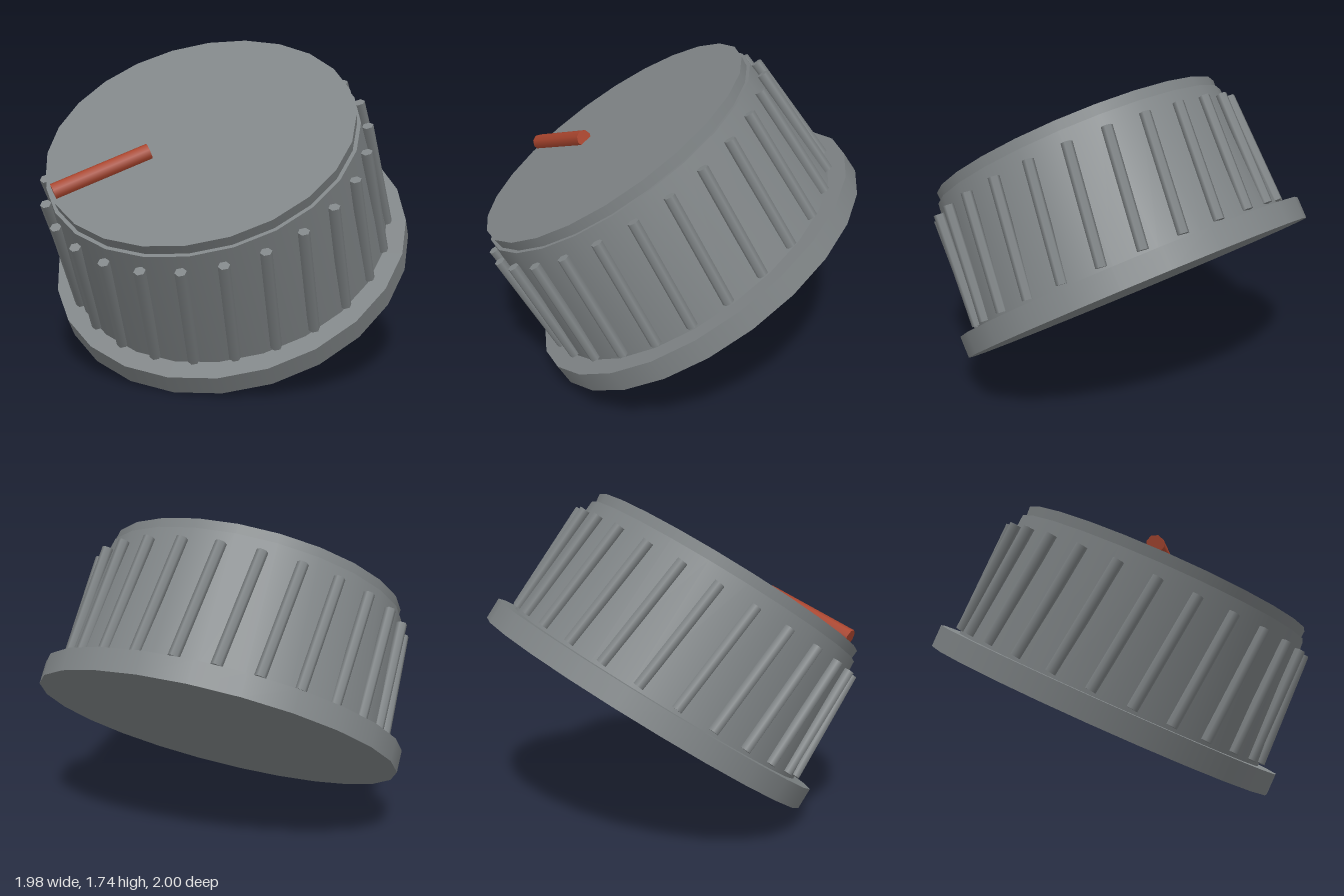
import * as THREE from 'three';

const grey = new THREE.MeshStandardMaterial({ color: 0x7f8486 });
grey.name = 'knobGrey';
const red = new THREE.MeshStandardMaterial({ color: 0xa9452e });
red.name = 'pointerRed';

// Straight round bar between two points
function bar(name, a, b, radius, sides, material) {
  const dir = b.clone().sub(a);
  const mesh = new THREE.Mesh(new THREE.CylinderGeometry(radius, radius, dir.length(), sides), material);
  mesh.name = name;
  mesh.position.copy(a).add(b).multiplyScalar(0.5);
  mesh.quaternion.setFromUnitVectors(new THREE.Vector3(0, 1, 0), dir.normalize());
  return mesh;
}

// Round section of the knob between two heights
function disc(name, rTop, rBottom, y0, y1) {
  const mesh = new THREE.Mesh(new THREE.CylinderGeometry(rTop, rBottom, y1 - y0, 24), grey);
  mesh.name = name;
  mesh.position.y = (y0 + y1) / 2;
  return mesh;
}

const polar = (r, angle, y) => new THREE.Vector3(r * Math.sin(angle), y, r * Math.cos(angle));

export function createModel() {
  const model = new THREE.Group();
  model.name = 'controlKnob';

  // The whole knob leans forward
  const knob = new THREE.Group();
  knob.name = 'tiltedKnob';
  knob.rotation.x = THREE.MathUtils.degToRad(33.45);
  knob.position.set(0, 0.547, -0.175);
  model.add(knob);

  knob.add(disc('baseFlange', 0.99, 0.99, 0, 0.12));
  knob.add(disc('body', 0.835, 0.885, 0.12, 0.83));
  knob.add(disc('topCap', 0.82, 0.815, 0.83, 0.887));

  // Slanted grip ribs around the body
  const ribs = new THREE.Group();
  ribs.name = 'gripRibs';
  const count = 26;
  const twist = THREE.MathUtils.degToRad(4.8);
  for (let i = 0; i < count; i++) {
    const angle = ((i + 0.5) / count) * Math.PI * 2;
    ribs.add(bar('gripRib', polar(0.886, angle, 0.14), polar(0.864, angle + twist, 0.76), 0.03, 6, grey));
  }
  knob.add(ribs);

  // Pointer bar half sunk into the cap
  const aim = THREE.MathUtils.degToRad(-49.5);
  knob.add(bar('pointer', polar(0.27, aim, 0.905), polar(0.8, aim, 0.905), 0.045, 8, red));

  return model;
}
